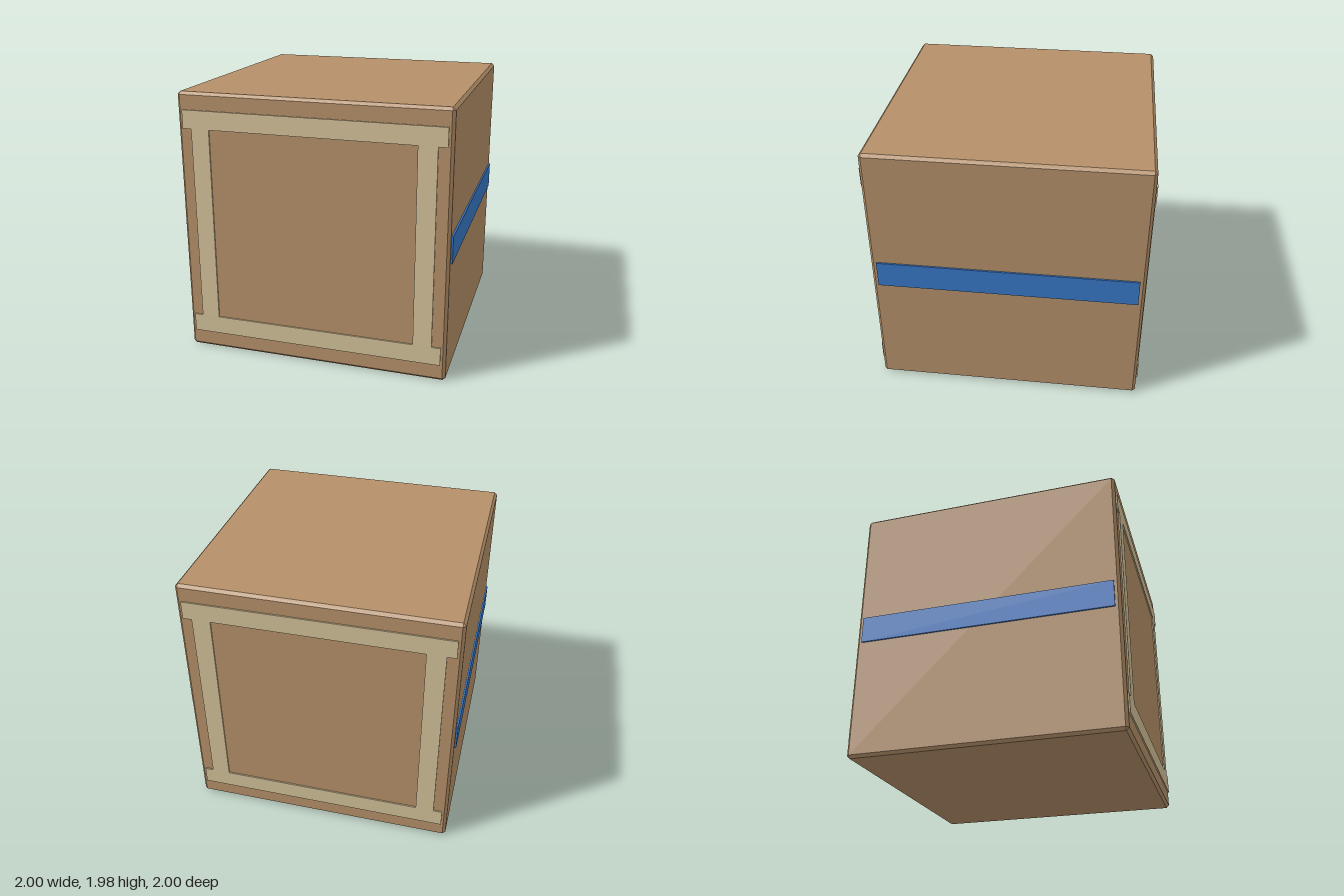
import * as THREE from 'three';
import { ConvexGeometry } from 'three/addons/geometries/ConvexGeometry.js';

const HALF = 0.9875; // half the crate's edge
const BEVEL = 0.021;

const material = (color) => new THREE.MeshStandardMaterial({ color, flatShading: true });

// Cube with chamfered edges: the hull of its six inset faces
function chamferedCube(h, c) {
  const points = [];
  const i = h - c;
  for (const x of [-1, 1]) for (const y of [-1, 1]) for (const z of [-1, 1]) {
    points.push(
      new THREE.Vector3(x * h, y * i, z * i),
      new THREE.Vector3(x * i, y * h, z * i),
      new THREE.Vector3(x * i, y * i, z * h));
  }
  return new ConvexGeometry(points);
}

// Flat frame: two long rails joined by two posts set in from the rail ends
function frameGeometry(depth) {
  const rail = 0.95, post = 0.885, inner = 0.75, top = 0.86, under = 0.725;
  const outline = new THREE.Shape([
    [-rail, -top], [rail, -top], [rail, -under], [post, -under],
    [post, under], [rail, under], [rail, top], [-rail, top],
    [-rail, under], [-post, under], [-post, -under], [-rail, -under],
  ].map(([x, y]) => new THREE.Vector2(x, y)));
  outline.holes.push(new THREE.Path([
    [-inner, -under], [-inner, under], [inner, under], [inner, -under],
  ].map(([x, y]) => new THREE.Vector2(x, y))));
  return new THREE.ExtrudeGeometry(outline, { depth, bevelEnabled: false });
}

export function createModel() {
  const model = new THREE.Group();
  model.name = 'crate';

  const add = (name, geometry, mat) => {
    const mesh = new THREE.Mesh(geometry, mat);
    mesh.name = name;
    mesh.position.y = HALF;
    model.add(mesh);
    return mesh;
  };

  add('crateBody', chamferedCube(HALF, BEVEL), material(0xb59069));

  // Raised frames on the front and back
  const frame = frameGeometry(0.02);
  const frameMaterial = material(0xd2c198);
  for (const [name, side] of [['frontFrame', 1], ['backFrame', -1]]) {
    const mesh = add(name, frame, frameMaterial);
    mesh.position.z = side * 0.9775;
    mesh.rotation.y = side > 0 ? 0 : Math.PI;
  }

  // Painted bands on the left and right
  const band = new THREE.BoxGeometry(0.03, 0.2, 1.89);
  const bandMaterial = material(0x3878c8);
  for (const [name, side] of [['leftBand', 1], ['rightBand', -1]]) {
    add(name, band, bandMaterial).position.x = side * 0.985;
  }

  return model;
}
